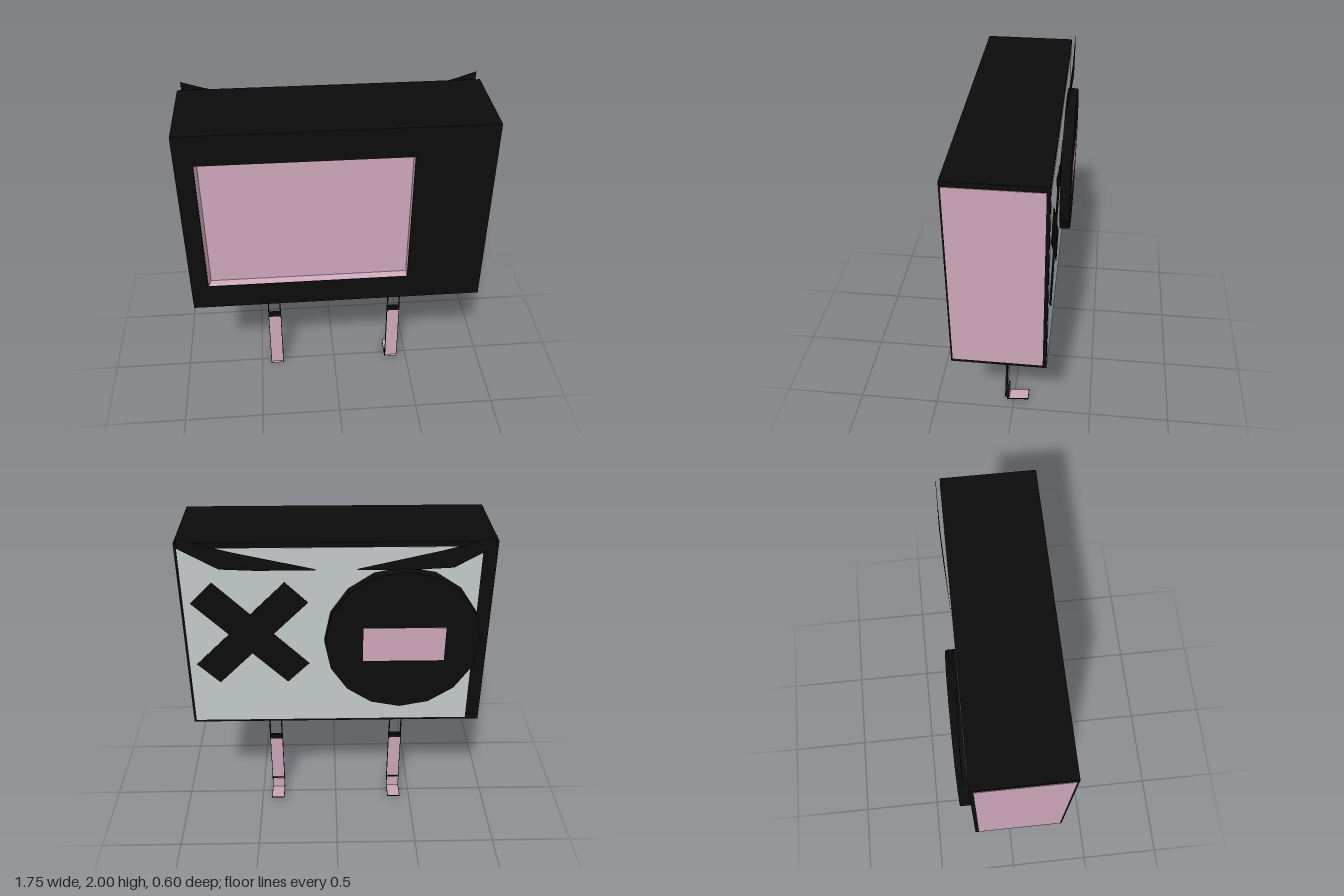
import * as THREE from 'three';

const mat = (name, color, extra = {}) => {
  const m = new THREE.MeshStandardMaterial({ color, side: THREE.DoubleSide, flatShading: true, ...extra });
  m.name = name;
  return m;
};

export function createModel() {
  const black = mat('black', 0x0c0c0c);
  const pink = mat('pink', 0xcca6ba);
  const grey = mat('grey', 0xc3c9ca);
  const model = new THREE.Group();
  model.name = 'screenFigure';

  const add = (parent, name, geo, material, x = 0, y = 0, z = 0) => {
    const mesh = new THREE.Mesh(geo, material);
    mesh.name = name;
    mesh.position.set(x, y, z);
    parent.add(mesh);
    return mesh;
  };
  // box given by its limits on each axis
  const block = (parent, name, material, [x0, x1], [y0, y1], [z0, z1]) =>
    add(parent, name, new THREE.BoxGeometry(x1 - x0, y1 - y0, z1 - z0), material,
      (x0 + x1) / 2, (y0 + y1) / 2, (z0 + z1) / 2);
  const rect = (Type, x0, x1, y0, y1) => {
    const p = new Type();
    p.moveTo(x0, y0);
    p.lineTo(x1, y0);
    p.lineTo(x1, y1);
    p.lineTo(x0, y1);
    p.closePath();
    return p;
  };

  // Body: solid box behind a front frame with the screen opening
  const recess = 0.255, front = 0.295;
  block(model, 'body', black, [-0.87, 0.87], [0.78, 1.96], [-0.235, recess]);
  const frame = rect(THREE.Shape, -0.87, 0.87, 0.78, 1.96);
  frame.holes.push(rect(THREE.Path, -0.77, 0.42, 0.943, 1.78));
  add(model, 'screenFrame', new THREE.ExtrudeGeometry(frame, { depth: front - recess, bevelEnabled: false }),
    black, 0, 0, recess);
  block(model, 'screen', pink, [-0.77, 0.42], [0.943, 1.78], [recess, recess + 0.003]);

  // Slanted screen walls between the opening and the screen
  const outer = [[-0.768, 0.945], [0.418, 0.945], [0.418, 1.778], [-0.768, 1.778]];
  const inner = [[-0.753, 0.957], [0.416, 0.957], [0.416, 1.776], [-0.753, 1.776]];
  const walls = [];
  for (let i = 0; i < 4; i++) {
    const j = (i + 1) % 4;
    const a = [...outer[i], front - 0.001], b = [...outer[j], front - 0.001];
    const c = [...inner[j], recess + 0.003], d = [...inner[i], recess + 0.003];
    walls.push(...a, ...b, ...c, ...a, ...c, ...d);
  }
  const wallGeo = new THREE.BufferGeometry();
  wallGeo.setAttribute('position', new THREE.Float32BufferAttribute(walls, 3));
  wallGeo.computeVertexNormals();
  add(model, 'screenWalls', wallGeo, pink);

  // Side and back panels
  for (const s of [-1, 1]) {
    add(model, 'sidePanel', new THREE.BoxGeometry(0.004, 1.13, 0.5), pink, s * 0.871, 1.365, 0.035);
  }
  block(model, 'backPanel', grey, [-0.79, 0.855], [0.795, 1.93], [-0.238, -0.233]);

  // Cross on the back
  for (const s of [-1, 1]) {
    add(model, 'crossBar', new THREE.BoxGeometry(0.745, 0.18, 0.006), black, 0.486, 1.4, -0.239)
      .rotation.z = s * Math.PI / 4;
  }

  // Round disc with a pink plate
  add(model, 'disc', new THREE.CylinderGeometry(0.443, 0.443, 0.065, 16), black, -0.375, 1.37, -0.266)
    .rotation.x = Math.PI / 2;
  block(model, 'discPlate', pink, [-0.617, -0.15], [1.25, 1.465], [-0.301, -0.296]);

  // Brows: thin bent sheets, rising to a tip at the outer corners
  const top = [[0.11, 1.805, -0.243], [0.56, 1.915, -0.258], [0.73, 1.96, -0.258], [0.85, 2, -0.256]];
  const low = [[0.12, 1.798, -0.243], [0.45, 1.808, -0.26], [0.635, 1.82, -0.266], [0.85, 1.94, -0.26]];
  const browGeo = (s) => {
    const pts = [];
    const put = (...corners) => corners.forEach(([x, y, z]) => pts.push(s * x, y, z));
    for (let i = 0; i < 3; i++) {
      put(top[i], top[i + 1], low[i + 1]);
      put(top[i], low[i + 1], low[i]);
    }
    const g = new THREE.BufferGeometry();
    g.setAttribute('position', new THREE.Float32BufferAttribute(pts, 3));
    g.computeVertexNormals();
    return g;
  };
  add(model, 'leftBrow', browGeo(1), black);
  add(model, 'rightBrow', browGeo(-1), black);

  // Strip with black edges and pink faces; thin is the axis across its thickness
  const strip = (parent, name, w, h, d, thin, y, z) => {
    const g = new THREE.Group();
    g.name = name;
    g.position.set(0, y, z);
    parent.add(g);
    add(g, name + 'Edge', new THREE.BoxGeometry(w, h, d), black);
    const size = thin === 'z' ? [w - 0.008, h - 0.004, d + 0.002] : [w - 0.008, h + 0.002, d - 0.006];
    add(g, name + 'Face', new THREE.BoxGeometry(...size), pink);
    return g;
  };

  // Legs
  const knob = [[0, 0.733], [0.04, 0.735], [0.06, 0.747], [0.065, 0.765], [0.06, 0.781]]
    .map(([r, y]) => new THREE.Vector2(r, y));
  for (const s of [-1, 1]) {
    const leg = new THREE.Group();
    leg.name = s > 0 ? 'leftLeg' : 'rightLeg';
    leg.position.x = s * 0.394;
    model.add(leg);
    add(leg, 'hipKnob', new THREE.LatheGeometry(knob, 14), grey, 0, 0, 0.035);
    for (const e of [-1, 1]) {
      add(leg, 'legRod', new THREE.BoxGeometry(0.007, 0.31, 0.008), black, e * 0.038, 0.595, 0.034);
    }
    const shin = strip(leg, 'shin', 0.084, 0.415, 0.014, 'z', 0.235, 0.042);
    shin.rotation.x = -0.035;
    block(leg, 'shinCap', black, [-0.042, 0.042], [0.435, 0.468], [0.025, 0.043]);
    strip(leg, 'heel', 0.084, 0.085, 0.014, 'z', 0.047, 0.037);
    const foot = strip(leg, 'foot', 0.084, 0.006, 0.136, 'y', 0.0145, -0.028);
    foot.rotation.x = 0.11;
    block(leg, 'sole', pink, [-0.038, 0.038], [0, 0.008], [0.03, 0.043]);
  }
  return model;
}
